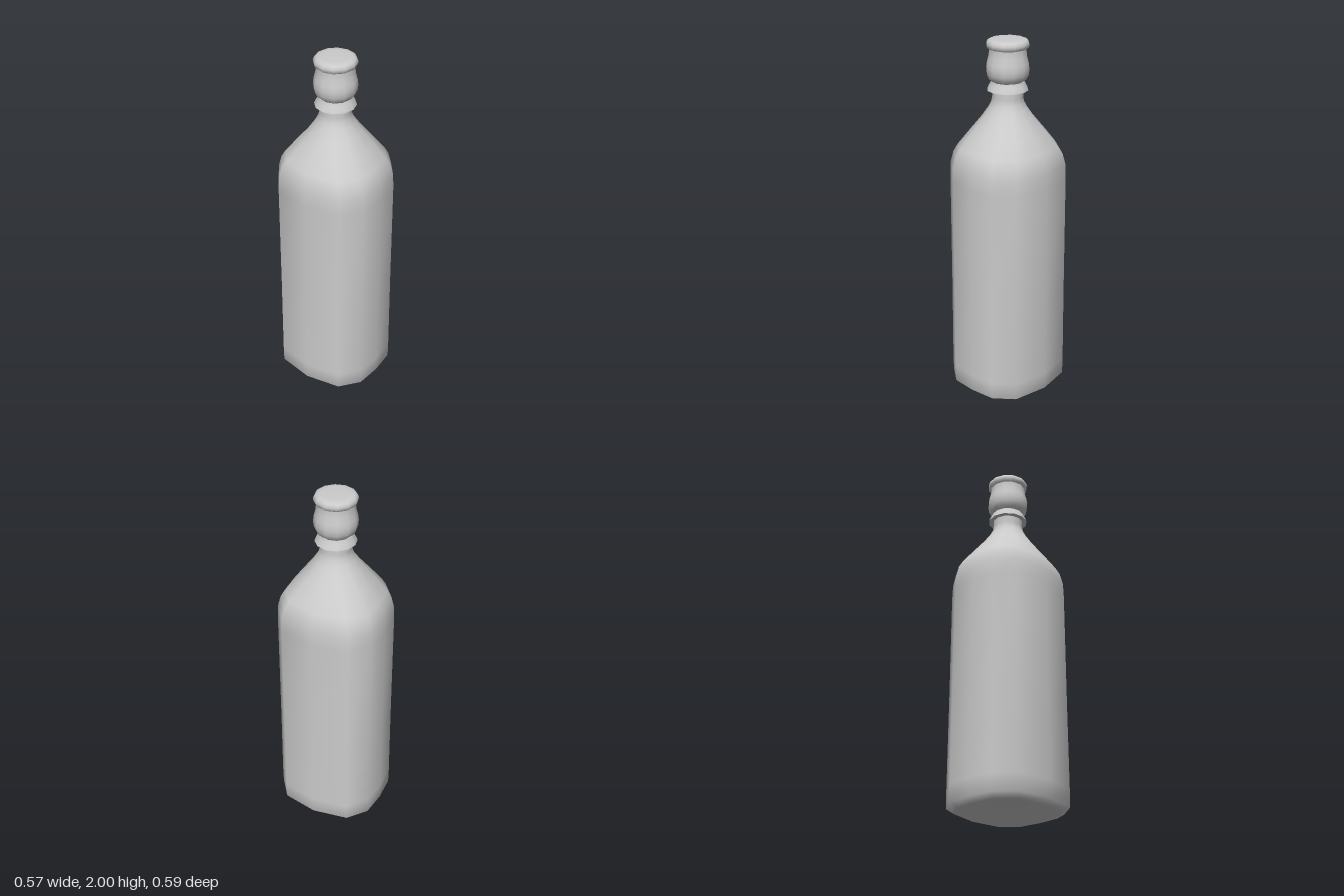
import * as THREE from 'three';

const SIDES = 12;

// Quarter of the rounded-square body section, mirrored to twelve corners
const QUARTER = [[0, 0.297], [0.143, 0.285], [0.25, 0.2], [0.286, 0]];

function bodyCorner(i) {
  const k = i % 6, q = k <= 3 ? k : 6 - k;
  const [x, z] = QUARTER[q];
  return [i > 6 ? -x : x, i > 3 && i < 9 ? -z : z];
}

// Stacks twelve-sided rings. Each row is [y, radius, squareness 0..1];
// a repeated row makes a sharp edge.
function loft(name, rows, material) {
  const pos = [], index = [];
  for (const [y, r, square = 0] of rows) {
    for (let i = 0; i < SIDES; i++) {
      const a = (i / SIDES) * Math.PI * 2;
      const [bx, bz] = bodyCorner(i);
      const k = r / 0.286;
      pos.push(
        THREE.MathUtils.lerp(Math.sin(a) * r, bx * k, square), y,
        THREE.MathUtils.lerp(Math.cos(a) * r, bz * k, square));
    }
  }
  for (let j = 0; j < rows.length - 1; j++) {
    for (let i = 0; i < SIDES; i++) {
      const n = (i + 1) % SIDES;
      const a = j * SIDES + i, b = j * SIDES + n, c = b + SIDES, d = a + SIDES;
      if (rows[j][1] > 0) index.push(a, b, c);
      else { index.push(a, c, d); continue; }
      if (rows[j + 1][1] > 0) index.push(a, c, d);
    }
  }
  const geometry = new THREE.BufferGeometry();
  geometry.setAttribute('position', new THREE.Float32BufferAttribute(pos, 3));
  geometry.setIndex(index);
  geometry.computeVertexNormals();
  const mesh = new THREE.Mesh(geometry, material);
  mesh.name = name;
  return mesh;
}

export function createModel() {
  const group = new THREE.Group();
  group.name = 'bottle';
  const material = new THREE.MeshStandardMaterial({ color: 0xcccccc });

  // Body: hollowed base, straight sides, shoulder and round neck
  group.add(loft('body', [
    [0.055, 0, 1], [0.048, 0.1, 1], [0.025, 0.18, 1], [0, 0.225, 1],
    [0, 0.25, 1], [0.025, 0.285, 1], [0.12, 0.286, 1], [0.6, 0.283, 1],
    [1.24, 0.281, 1], [1.32, 0.278, 1], [1.38, 0.265, 0.95],
    [1.42, 0.245, 0.9], [1.5, 0.192, 0.65], [1.58, 0.135, 0.35],
    [1.63, 0.104, 0.15], [1.66, 0.09], [1.69, 0.084], [1.78, 0.084],
  ], material));

  // Flared collar around the neck
  group.add(loft('collar', [
    [1.728, 0.08], [1.728, 0.111],
    [1.728, 0.111], [1.745, 0.104], [1.765, 0.093], [1.775, 0.09],
    [1.775, 0.09], [1.775, 0.07],
  ], material));

  // Bulging stopper with a waist
  group.add(loft('stopper', [
    [1.77, 0.07], [1.775, 0.085], [1.79, 0.102], [1.815, 0.113],
    [1.845, 0.116], [1.875, 0.112], [1.91, 0.103], [1.94, 0.1], [1.96, 0.1],
  ], material));

  // Rounded lip and top
  group.add(loft('lip', [
    [1.95, 0.09], [1.95, 0.104],
    [1.95, 0.104], [1.96, 0.113], [1.975, 0.115], [1.99, 0.108],
    [1.997, 0.095], [2, 0.07], [2, 0],
  ], material));

  return group;
}
